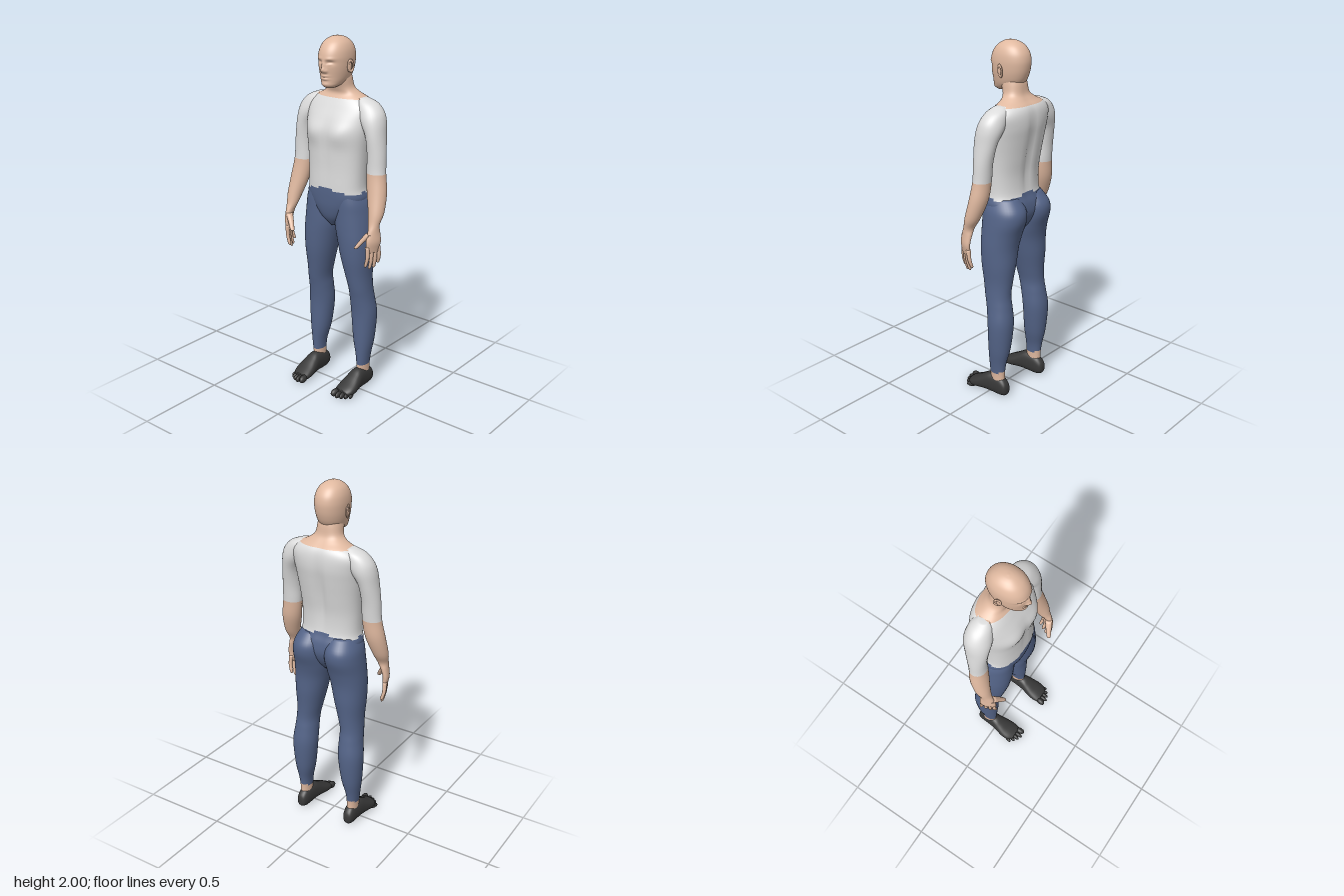
import * as THREE from 'three';

const mat = (name, color) => Object.assign(new THREE.MeshStandardMaterial({ color }), { name });
const bump = (d, s) => Math.exp(-(d / s) * (d / s));
const spow = (v, p) => Math.sign(v) * Math.pow(Math.abs(v), p);

// Catmull-Rom blend of whole section rows
function blendRows(rows, steps) {
  const out = [];
  const last = rows.length - 1;
  for (let i = 0; i < last; i++) {
    const a = rows[Math.max(i - 1, 0)], b = rows[i], c = rows[i + 1], d = rows[Math.min(i + 2, last)];
    for (let k = 0; k < steps; k++) {
      const t = k / steps;
      out.push([0, 1, 2, 3, 4, 5].map((q) => {
        const [A, B, C, D] = [a, b, c, d].map((r) => r[q] || 0);
        return B + 0.5 * t * (C - A + t * (2 * A - 5 * B + 4 * C - D + t * (3 * (B - C) + D - A)));
      }));
    }
  }
  out.push([0, 1, 2, 3, 4, 5].map((q) => rows[last][q] || 0));
  return out;
}

// Skin over sections [y, xMin, xMax, zMin, zMax, yaw], listed upwards; side -1 mirrors it.
// pick(x, y, z) returns the material number of each patch.
function loft(rows, { steps = 5, n = 32, power = 2, side = 1, deform, pick = () => 0 } = {}) {
  const secs = blendRows(rows, steps);
  const pos = [];
  const v = new THREE.Vector3();
  for (const [y, x0, x1, z0, z1, yaw] of secs) {
    const s = Math.sin(yaw), c = Math.cos(yaw);
    for (let j = 0; j < n; j++) {
      const a = (j / n) * Math.PI * 2;
      const lx = (x1 - x0) / 2 * spow(Math.cos(a), 2 / power);
      const lz = (z1 - z0) / 2 * spow(Math.sin(a), 2 / power);
      v.set((x0 + x1) / 2 + lx * c + lz * s, y, (z0 + z1) / 2 - lx * s + lz * c);
      if (deform) deform(v);
      pos.push(v.x * side, v.y, v.z);
    }
  }
  const end = secs.length - 1;
  for (const r of [secs[0], secs[end]]) pos.push(side * (r[1] + r[2]) / 2, r[0], (r[3] + r[4]) / 2);
  const buckets = [];
  const add = (...tris) => {
    const m = [0, 0, 0];
    tris.forEach((i) => m.forEach((_, q) => { m[q] += pos[i * 3 + q] / tris.length; }));
    const b = pick(...m);
    buckets[b] = buckets[b] || [];
    for (let i = 0; i < tris.length; i += 3) {
      const [p, q, r] = tris.slice(i, i + 3);
      buckets[b].push(...(side > 0 ? [p, q, r] : [p, r, q]));
    }
  };
  for (let j = 0; j < n; j++) {
    const k = (j + 1) % n;
    for (let i = 0; i < end; i++) {
      const a = i * n + j, b = i * n + k;
      add(a, a + n, b, b, a + n, b + n);
    }
    add((end + 1) * n, j, k);
    add((end + 1) * n + 1, end * n + k, end * n + j);
  }
  const geo = new THREE.BufferGeometry();
  geo.setAttribute('position', new THREE.Float32BufferAttribute(pos, 3));
  const index = [];
  buckets.forEach((list, b) => {
    geo.addGroup(index.length, list.length, b);
    list.forEach((i) => index.push(i));
  });
  geo.setIndex(index);
  geo.computeVertexNormals();
  return geo;
}

export function createModel() {
  const root = new THREE.Group();
  const skin = mat('skin', 0xe0b9a0), shirt = mat('shirt', 0xdcdcdc);
  const trousers = mat('trousers', 0x546488), shoe = mat('shoe', 0x383838);
  const put = (name, geo, m, parent = root) => {
    const mesh = new THREE.Mesh(geo, m);
    mesh.name = name;
    parent.add(mesh);
    return mesh;
  };
  const ball = (name, parent, m, p, r, rot = [0, 0, 0]) => {
    const b = put(name, new THREE.SphereGeometry(1, 20, 14), m, parent);
    b.position.set(...p);
    b.scale.set(...r);
    b.rotation.set(...rot);
    return b;
  };
  const sym = ([y, r, z0, z1]) => [y, -r, r, z0, z1];
  const neckline = (x, y) => y > 1.677 && Math.abs(x) < 0.14;

  // Torso, from crotch to neck, with chest muscles and a spine groove
  const torsoRows = [
    [0.97, 0.02, -0.09, 0.03], [1.02, 0.09, -0.13, 0.065], [1.08, 0.15, -0.155, 0.082],
    [1.14, 0.183, -0.152, 0.088], [1.2, 0.172, -0.132, 0.09], [1.3, 0.173, -0.13, 0.088],
    [1.4, 0.18, -0.145, 0.09], [1.5, 0.193, -0.162, 0.09], [1.57, 0.2, -0.172, 0.07],
    [1.63, 0.2, -0.17, 0.04], [1.67, 0.165, -0.157, 0.018], [1.7, 0.11, -0.128, 0.002],
    [1.73, 0.076, -0.108, 0.01], [1.78, 0.067, -0.1, 0.03], [1.82, 0.06, -0.09, 0.03],
  ].map(sym);
  put('torso', loft(torsoRows, {
    n: 56, power: 2.3,
    deform: (v) => {
      const ax = Math.abs(v.x);
      if (v.z > 0) {
        v.z += 0.016 * bump(ax - 0.085, 0.06) * bump(v.y - 1.5, 0.06);
        v.z -= 0.005 * bump(ax, 0.015) * bump(v.y - 1.4, 0.15);
      } else if (v.z < -0.06) {
        v.z += 0.02 * bump(ax, 0.025) * bump(v.y - 1.42, 0.2);
      }
    },
    pick: (x, y) => (neckline(x, y) ? 2 : y < 1.187 + 0.01 * Math.cos(x * 22) ? 0 : 1),
  }), [trousers, shirt, skin]);

  // Head with modelled face
  const headRows = [
    [1.737, 0.026, 0.01, 0.072], [1.75, 0.046, -0.03, 0.085], [1.77, 0.061, -0.08, 0.087],
    [1.795, 0.071, -0.103, 0.088], [1.83, 0.079, -0.118, 0.093], [1.865, 0.083, -0.126, 0.097],
    [1.9, 0.084, -0.128, 0.098], [1.935, 0.079, -0.12, 0.087], [1.965, 0.066, -0.1, 0.066],
    [1.985, 0.046, -0.074, 0.04], [1.996, 0.024, -0.045, 0.015], [2, 0.004, -0.018, -0.01],
  ].map(sym);
  put('head', loft(headRows, {
    n: 96, steps: 8, power: 2.15,
    deform: (v) => {
      if (v.z < 0.02) return;
      const ax = Math.abs(v.x), y = v.y;
      v.z += 0.022 * bump(ax, 0.013) * bump(y - 1.832, 0.014)
        + 0.012 * bump(ax, 0.011) * bump(y - 1.858, 0.02)
        + 0.008 * bump(ax - 0.014, 0.007) * bump(y - 1.826, 0.008)
        - 0.012 * bump(ax - 0.033, 0.02) * bump(y - 1.87, 0.012)
        + 0.007 * bump(ax - 0.033, 0.013) * bump(y - 1.864, 0.007)
        + 0.004 * bump(ax - 0.035, 0.025) * bump(y - 1.89, 0.008)
        + 0.008 * bump(ax, 0.022) * (bump(y - 1.801, 0.006) + bump(y - 1.785, 0.006))
        + 0.005 * bump(ax, 0.025) * bump(y - 1.756, 0.012);
    },
  }), skin);

  for (const side of [1, -1]) {
    const label = side > 0 ? 'left' : 'right';
    const group = (part) => {
      const g = new THREE.Group();
      g.name = label + part;
      root.add(g);
      return g;
    };

    // Ear: rim and inner shell
    const ear = group('Ear');
    const rim = put('earRim', new THREE.TorusGeometry(0.016, 0.005, 8, 24), skin, ear);
    rim.position.set(side * 0.09, 1.85, -0.016);
    rim.rotation.set(0.15, side * 1.25, 0);
    rim.scale.set(1, 1.75, 1);
    ball('earShell', ear, skin, [side * 0.084, 1.847, -0.012], [0.008, 0.03, 0.016]);

    // Arm: palm, forearm, sleeve and shoulder
    const arm = group('Arm');
    put('arm', loft([
      [0.888, 0.283, 0.307, 0.016, 0.084, -0.4], [0.91, 0.28, 0.312, 0.01, 0.09, -0.4],
      [0.95, 0.281, 0.319, 0.005, 0.094, -0.4], [1, 0.272, 0.318, 0.003, 0.078, -0.3],
      [1.04, 0.257, 0.319, 0, 0.062, -0.15], [1.1, 0.24, 0.328, -0.035, 0.05],
      [1.2, 0.211, 0.322, -0.07, 0.03], [1.3, 0.198, 0.306, -0.08, 0.016],
      [1.4, 0.197, 0.3, -0.09, 0.015], [1.5, 0.183, 0.289, -0.11, 0.02],
      [1.57, 0.14, 0.281, -0.127, 0.02], [1.62, 0.11, 0.264, -0.127, 0.008],
      [1.66, 0.1, 0.225, -0.117, -0.01], [1.685, 0.11, 0.165, -0.09, -0.035],
    ], { side, pick: (x, y) => (y < 1.305 || neckline(x, y) ? 0 : 1) }), [skin, shirt], arm);

    // Tapered digit with a rounded tip, from tip to base
    const digit = (name, tip, base, r0, r1, bow) => {
      const rows = [[0, 0.3], [0.04, 0.75], [0.12, 1], [0.5, 1], [1, 1]].map(([t, k]) => {
        const r = k * (r0 + (r1 - r0) * t);
        const x = tip[0] + (base[0] - tip[0]) * t + bow * Math.sin(t * Math.PI);
        const z = tip[2] + (base[2] - tip[2]) * t;
        return [tip[1] + (base[1] - tip[1]) * t, x - r, x + r, z - r, z + r];
      });
      put(name, loft(rows, { side, n: 14, steps: 4 }), skin, arm);
    };
    ['index', 'middle', 'ring', 'little'].forEach((name, i) => {
      const u = 0.032 - 0.0213 * i;
      digit(name + 'Finger', [0.282 - 0.45 * u, [0.802, 0.787, 0.792, 0.815][i], 0.042 + 1.15 * u],
        [0.296 - 0.4 * u, 0.92, 0.05 + 0.92 * u], 0.0085, 0.0125, 0.008);
    });
    digit('thumb', [0.222, 0.905, 0.108], [0.282, 0.99, 0.066], 0.011, 0.021, -0.002);

    // Leg, with buttock, knee, calf and bare ankle
    put(label + 'Leg', loft([
      [0.07, 0.132, 0.19, -0.1, -0.015], [0.13, 0.131, 0.192, -0.1, -0.008],
      [0.2, 0.124, 0.2, -0.108, -0.004], [0.3, 0.1, 0.215, -0.13, 0],
      [0.45, 0.082, 0.225, -0.143, 0.002], [0.55, 0.082, 0.215, -0.132, 0.015],
      [0.62, 0.082, 0.209, -0.122, 0.03], [0.7, 0.065, 0.207, -0.125, 0.045],
      [0.8, 0.04, 0.214, -0.135, 0.062], [0.9, 0.018, 0.216, -0.14, 0.07],
      [0.98, 0.001, 0.212, -0.157, 0.072], [1.06, -0.002, 0.205, -0.183, 0.072],
      [1.12, 0.004, 0.194, -0.178, 0.072], [1.18, 0.02, 0.165, -0.13, 0.068],
    ], {
      side, n: 40, power: 2.1,
      pick: (x, y, z) => (y < (z < -0.08 ? 0.15 : 0.137) ? 0 : 1),
    }), [skin, trousers]);

    // Foot, skinned from heel to ball, then toes
    const foot = group('Foot');
    const footRows = [
      [-0.127, 0.148, 0.172, 0.03, 0.06], [-0.118, 0.135, 0.187, 0.012, 0.085],
      [-0.09, 0.126, 0.194, 0.002, 0.112], [-0.05, 0.122, 0.197, 0.001, 0.123],
      [0, 0.117, 0.203, 0.003, 0.122], [0.04, 0.109, 0.211, 0.004, 0.1],
      [0.08, 0.102, 0.217, 0.002, 0.075], [0.115, 0.102, 0.213, 0.002, 0.056],
      [0.14, 0.108, 0.195, 0.006, 0.042],
    ].map(([z, x0, x1, y0, y1]) => [z, x0, x1, -y1, -y0]);
    put('foot', loft(footRows, { side, n: 32, power: 2.3 }).rotateX(Math.PI / 2), shoe, foot);
    [[0.12, 0.15, 0.018, 0.022], [0.147, 0.152, 0.012, 0.018], [0.168, 0.143, 0.012, 0.017],
      [0.187, 0.129, 0.0115, 0.016], [0.204, 0.11, 0.011, 0.015]].forEach(([x, z, rx, ry], i) =>
      ball('toe' + (i + 1), foot, shoe, [side * x, ry, z], [rx, ry, 0.031], [0.12, side * 0.12 * (i - 1), 0]));
  }
  return root;
}
